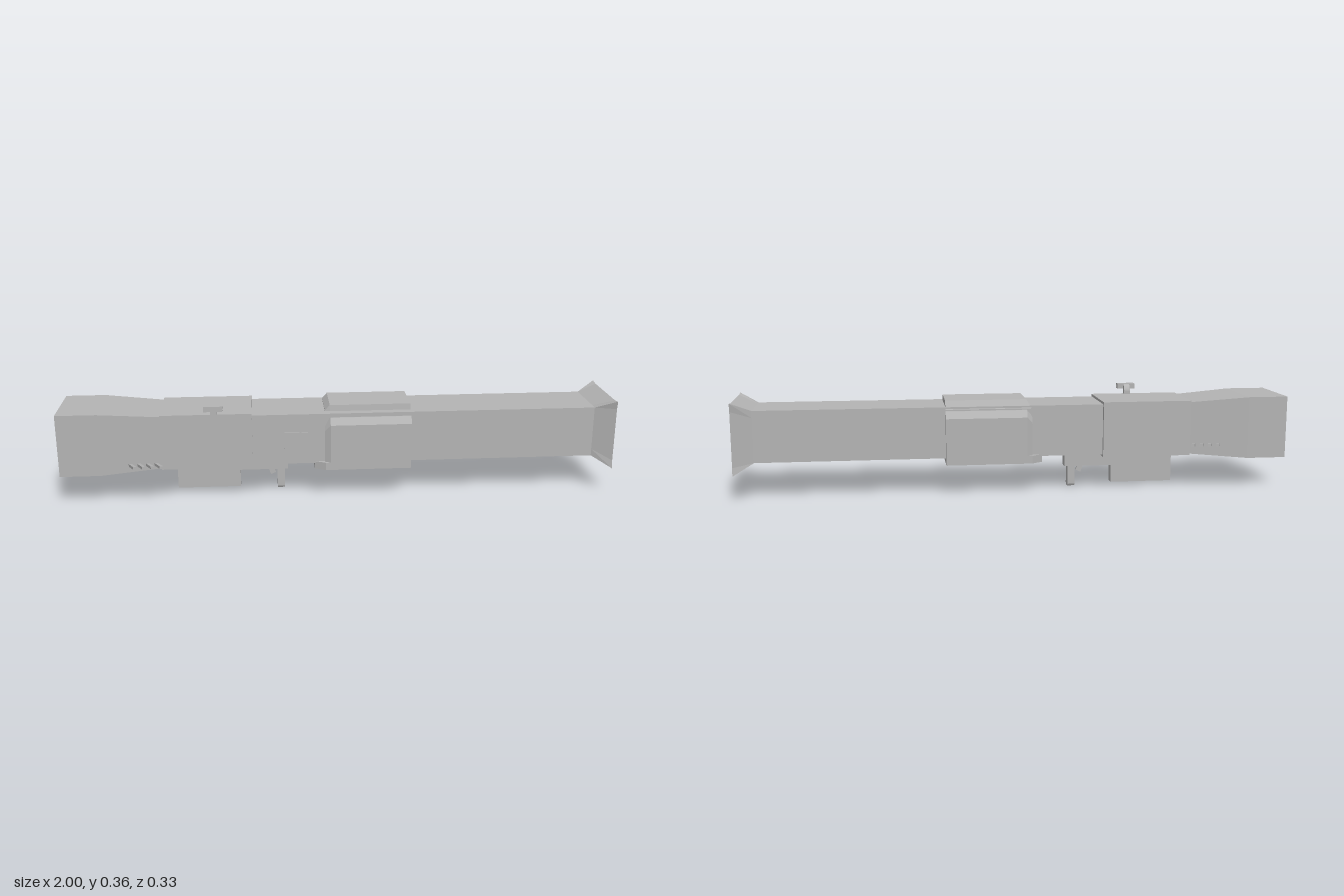
import * as THREE from 'three';

const metal = new THREE.MeshStandardMaterial({ color: 0xb4b4b4 });
metal.name = 'plain grey';

// rectangular cross-section as [z, y] points
const rect = (z0, z1, y0, y1) => [[z1, y0], [z0, y0], [z0, y1], [z1, y1]];

// skin a row of [x, section] cross-sections along x, with flat faces and closed ends
function loft(sections) {
  const pos = [];
  const put = (...pts) => pts.forEach((p) => pos.push(...p));
  const rings = sections.map(([x, pts]) => pts.map(([z, y]) => [x, y, z]));
  const n = rings[0].length;
  for (let s = 0; s < rings.length - 1; s++) {
    for (let i = 0; i < n; i++) {
      const j = (i + 1) % n;
      const [a, b, c, d] = [rings[s][i], rings[s][j], rings[s + 1][j], rings[s + 1][i]];
      put(a, b, c, a, c, d);
    }
  }
  for (const [ring, isEnd] of [[rings[0], false], [rings[rings.length - 1], true]]) {
    const mid = [0, 1, 2].map((k) => ring.reduce((t, p) => t + p[k], 0) / n);
    for (let i = 0; i < n; i++) {
      const j = (i + 1) % n;
      if (isEnd) put(mid, ring[i], ring[j]);
      else put(mid, ring[j], ring[i]);
    }
  }
  const geo = new THREE.BufferGeometry();
  geo.setAttribute('position', new THREE.Float32BufferAttribute(pos, 3));
  geo.computeVertexNormals();
  return geo;
}

export function createModel() {
  const model = new THREE.Group();
  const add = (name, geo, parent = model) => {
    const mesh = new THREE.Mesh(geo, metal);
    mesh.name = name;
    parent.add(mesh);
    return mesh;
  };
  const box = (name, x0, x1, y0, y1, z0, z1, parent) => {
    const mesh = add(name, new THREE.BoxGeometry(x1 - x0, y1 - y0, z1 - z0), parent);
    mesh.position.set((x0 + x1) / 2, (y0 + y1) / 2, (z0 + z1) / 2);
    return mesh;
  };

  // main square tube
  const tubeEnd = rect(-0.104, 0.102, 0.134, 0.319);
  add('mainTube', loft([[-0.33, tubeEnd], [0.94, tubeEnd]]));

  // flared muzzle, its corners drawn out slightly beyond the edges
  const flareSection = (cz, cy, w, h, spike) => {
    const pts = [];
    for (const [sz, sy] of [[1, -1], [-1, -1], [-1, 1], [1, 1]]) {
      const corner = [cz + sz * (w + spike), cy + sy * (h + spike)];
      const onSide = [cz + sz * w, cy + sy * (h - 0.025)];
      const onEdge = [cz + sz * (w - 0.028), cy + sy * h];
      pts.push(...(sz * sy < 0 ? [onSide, corner, onEdge] : [onEdge, corner, onSide]));
    }
    return pts;
  };
  add('flaredMuzzle', loft([
    [0.93, flareSection(-0.001, 0.2265, 0.103, 0.0925, 0)],
    [1, flareSection(0, 0.2235, 0.138, 0.1235, 0.0045)],
  ]));

  // hollow rear funnel
  const rear = rect(-0.13, 0.118, 0.112, 0.339);
  const opening = rect(-0.117, 0.105, 0.125, 0.326);
  add('rearFunnel', loft([
    [-0.91, opening], [-1, opening], [-1, rear], [-0.856, rear],
    [-0.64, rect(-0.11, 0.105, 0.13, 0.322)],
  ]));

  // receiver block around the tube
  box('receiver', -0.64, -0.315, 0.126, 0.328, -0.116, 0.11);

  // bevelled side panels of the central housing
  const sidePanel = (inner, outer, top) => {
    const d = Math.sign(outer);
    const pts = [[inner, 0.112], [outer, 0.112], [outer, top - 0.025], [outer - d * 0.016, top], [inner, top]];
    return d > 0 ? pts.reverse() : pts;
  };
  for (const [name, inner, outer] of [['frontPanel', 0.095, 0.122], ['backPanel', -0.095, -0.129]]) {
    const d = Math.sign(outer);
    add(name, loft([
      [-0.055, sidePanel(inner, outer - d * 0.012, 0.282)],
      [-0.035, sidePanel(inner, outer, 0.305)],
      [0.257, sidePanel(inner, outer, 0.305)],
    ]));
  }

  // bevelled top panel
  const topPanel = (w, h) => [[0.075 * w - 0.008, 0.31], [-0.09 * w - 0.008, 0.31],
    [-0.075 * w - 0.008, h], [0.072 * w - 0.008, h]];
  add('topPanel', loft([
    [-0.053, topPanel(1.08, 0.322)], [-0.035, topPanel(1.08, 0.341)], [0.257, topPanel(1.08, 0.341)],
  ]));

  // underside plate narrowing toward the rear
  const under = rect(-0.129, 0.122, 0.112, 0.14);
  add('undersidePlate', loft([[-0.092, rect(-0.102, 0.1, 0.112, 0.14)], [-0.053, under], [0.257, under]]));

  // thin battery box, trigger bridge and front grip
  box('lowerBox', -0.594, -0.363, 0.013, 0.13, -0.03, 0.003);
  box('triggerBridge', -0.37, -0.187, 0.078, 0.138, -0.032, 0.005);
  const gripShape = new THREE.Shape([[-0.03, 0.08], [-0.03, 0.01], [-0.026, 0.003], [-0.001, 0.003], [0.003, 0.01], [0.003, 0.08]]
    .map(([z, y]) => new THREE.Vector2(-z, y)));
  const grip = add('frontGrip', new THREE.ExtrudeGeometry(gripShape, { depth: 0.027, bevelEnabled: false }));
  grip.rotation.y = Math.PI / 2;
  grip.position.x = -0.226;
  const trigger = box('trigger', -0.255, -0.235, 0.056, 0.08, -0.019, -0.008);
  trigger.rotation.z = 0.35;

  // small square plate on the front face
  box('sidePlate', -0.2, -0.115, 0.192, 0.252, 0.1, 0.107);

  // sight: square sleeve on a curved stalk
  const sight = new THREE.Group();
  sight.name = 'sight';
  model.add(sight);
  const frame = new THREE.Shape([[-0.136, 0.346], [-0.112, 0.346], [-0.112, 0.365], [-0.136, 0.365]]
    .map((p) => new THREE.Vector2(...p)));
  frame.holes.push(new THREE.Path([[-0.131, 0.349], [-0.131, 0.36], [-0.118, 0.36], [-0.118, 0.349]]
    .map((p) => new THREE.Vector2(...p))));
  const sleeve = add('sightSleeve', new THREE.ExtrudeGeometry(frame, { depth: 0.066, bevelEnabled: false }), sight);
  sleeve.rotation.y = Math.PI / 2;
  sleeve.position.x = -0.483;
  const arm = new THREE.Shape();
  arm.moveTo(-0.114, 0.325);
  arm.lineTo(-0.092, 0.325);
  arm.lineTo(-0.092, 0.34);
  arm.quadraticCurveTo(-0.098, 0.362, -0.114, 0.363);
  const stalk = add('sightStalk', new THREE.ExtrudeGeometry(arm, { depth: 0.022, bevelEnabled: false, curveSegments: 6 }), sight);
  stalk.rotation.y = Math.PI / 2;
  stalk.position.x = -0.461;

  // four slanted fins on each side of the funnel
  for (const side of [1, -1]) {
    for (let i = 0; i < 4; i++) {
      const x = -0.757 + i * 0.031;
      const y = side > 0 ? 0.151 : 0.167;
      const fin = (z, dx, dy) => {
        const p = [[x + dx, y + dy - 0.005, z], [x + dx + 0.012, y + dy - 0.005, z],
          [x + dx + 0.012, y + dy + 0.005, z], [x + dx, y + dy + 0.005, z]];
        return p;
      };
      const a = fin(side * 0.1, -0.004, -0.006);
      const b = fin(side * 0.165, 0.022, 0.004);
      const [lo, hi] = side > 0 ? [a, b] : [b, a];
      const geo = new THREE.BoxGeometry(1, 1, 1);
      const v = geo.attributes.position;
      for (let k = 0; k < v.count; k++) {
        const end = v.getZ(k) > 0 ? hi : lo;
        const corner = v.getY(k) > 0 ? (v.getX(k) > 0 ? 2 : 3) : (v.getX(k) > 0 ? 1 : 0);
        v.setXYZ(k, ...end[corner]);
      }
      geo.computeVertexNormals();
      add(side > 0 ? 'frontFin' : 'backFin', geo);
    }
  }
  return model;
}
